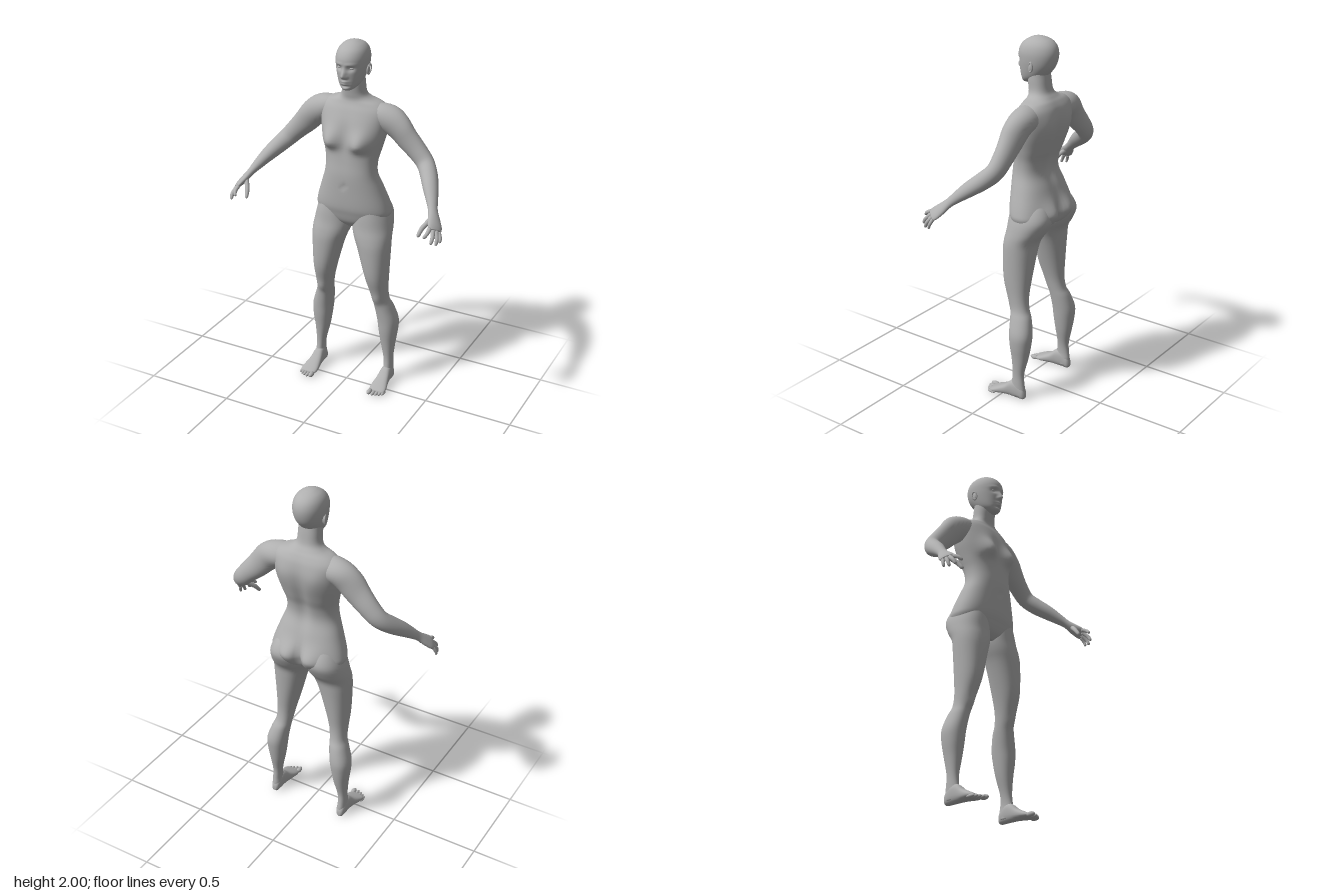
import * as THREE from 'three';

const skin = new THREE.MeshStandardMaterial({ color: 0xb0b0b0 });
skin.name = 'plain grey';

// Uniform Catmull-Rom resampling of table rows
function resample(rows, sub) {
  const out = [], last = rows.length - 1;
  for (let i = 0; i < last; i++) {
    const a = rows[Math.max(i - 1, 0)], b = rows[i], c = rows[i + 1], d = rows[Math.min(i + 2, last)];
    for (let k = 0; k < sub; k++) {
      const t = k / sub;
      out.push(b.map((v, q) => {
        const cubic = 3 * (v - c[q]) + d[q] - a[q];
        const square = 2 * a[q] - 5 * v + 4 * c[q] - d[q];
        return v + 0.5 * t * (c[q] - a[q] + t * (square + t * cubic));
      }));
    }
  }
  out.push(rows[last]);
  return out;
}

// Closed skin over rings of equal point count, with a centre point at each end
function skinRings(rings) {
  const n = rings[0].length, pos = [], idx = [];
  rings.forEach(r => r.forEach(p => pos.push(p.x, p.y, p.z)));
  for (let i = 0; i < rings.length - 1; i++) {
    for (let j = 0; j < n; j++) {
      const a = i * n + j, b = i * n + (j + 1) % n;
      idx.push(a, a + n, b, b, a + n, b + n);
    }
  }
  [rings[0], rings[rings.length - 1]].forEach((r, e) => {
    const c = r.reduce((s, p) => s.add(p), new THREE.Vector3()).divideScalar(n);
    const ci = pos.length / 3, o = e * (rings.length - 1) * n;
    pos.push(c.x, c.y, c.z);
    for (let j = 0; j < n; j++) {
      const a = o + j, b = o + (j + 1) % n;
      if (e) idx.push(ci, b, a); else idx.push(ci, a, b);
    }
  });
  const g = new THREE.BufferGeometry();
  g.setAttribute('position', new THREE.Float32BufferAttribute(pos, 3));
  g.setIndex(idx);
  g.computeVertexNormals();
  return g;
}

const spow = (v, p) => Math.sign(v) * Math.pow(Math.abs(v), 2 / p);

// Rows [t, u0, u1, v0, v1] of rounded sections; place() maps (u, v, t) to a point
function loft(rows, place, { n = 48, sub = 4, p = 2.2, warp } = {}) {
  return skinRings(resample(rows, sub).map(([t, u0, u1, v0, v1]) => {
    const ring = [];
    for (let j = 0; j < n; j++) {
      const a = j / n * Math.PI * 2, s = Math.sin(a);
      const pt = place((u0 + u1) / 2 + (u1 - u0) / 2 * spow(Math.cos(a), p),
        (v0 + v1) / 2 + (v1 - v0) / 2 * spow(s, p), t);
      if (warp) pt.z += warp(pt, s);
      ring.push(pt);
    }
    return ring;
  }));
}
const upright = (u, v, t) => new THREE.Vector3(u, t, v);
const forward = (u, v, t) => new THREE.Vector3(u, v, t);

// Rows [x, y, z, width radius, thickness radius] along a limb
const across = new THREE.Vector3(0.63, -0.45, -0.63).normalize();
function limb(rows, n) {
  const r = resample(rows, 4), at = i => new THREE.Vector3(...r[i].slice(0, 3));
  return skinRings(r.map((row, i) => {
    const T = at(Math.min(i + 1, r.length - 1)).sub(at(Math.max(i - 1, 0))).normalize();
    const W = across.clone().addScaledVector(T, -across.dot(T)).normalize();
    const N = W.clone().cross(T), ring = [];
    for (let j = 0; j < n; j++) {
      const a = j / n * Math.PI * 2;
      ring.push(at(i).addScaledVector(W, row[3] * Math.cos(a)).addScaledVector(N, row[4] * Math.sin(a)));
    }
    return ring;
  }));
}

const bump = (p, x, y, sx, sy) => {
  const dx = (p.x - x) / sx, dy = (p.y - y) / sy;
  return Math.exp(-dx * dx - dy * dy);
};
const ball = (x, y, z, sx, sy, sz) =>
  new THREE.SphereGeometry(1, 16, 12).scale(sx, sy, sz).translate(x, y, z);

function mirrored(geo) {
  const g = geo.clone().scale(-1, 1, 1), i = g.index.array;
  for (let k = 0; k < i.length; k += 3) [i[k], i[k + 1]] = [i[k + 1], i[k]];
  g.computeVertexNormals();
  return g;
}

export function createModel() {
  const model = new THREE.Group();
  model.name = 'figure';
  const add = (name, geo) => {
    const m = new THREE.Mesh(geo, skin);
    m.name = name;
    model.add(m);
  };
  const addPair = (name, geo) => {
    add('left' + name, geo);
    add('right' + name, mirrored(geo));
  };
  const symmetric = rows => rows.map(([y, w, b, f]) => [y, -w, w, b, f]);

  // Torso and neck
  add('torso', loft(symmetric([
    [0.965, 0.04, -0.12, -0.03], [1.0, 0.17, -0.19, 0.0], [1.05, 0.214, -0.215, 0.018],
    [1.1, 0.21, -0.212, 0.03], [1.2, 0.176, -0.183, 0.036], [1.28, 0.148, -0.155, 0.038],
    [1.35, 0.145, -0.16, 0.032], [1.42, 0.16, -0.185, 0.028], [1.5, 0.18, -0.208, 0.025],
    [1.57, 0.19, -0.216, 0.012], [1.63, 0.19, -0.206, -0.012], [1.667, 0.155, -0.187, -0.032],
    [1.69, 0.095, -0.168, -0.038], [1.72, 0.067, -0.148, -0.034], [1.78, 0.062, -0.138, -0.025],
    [1.83, 0.06, -0.13, -0.03],
  ]), upright, {
    n: 72, sub: 5, p: 2.3,
    warp(p, s) {
      const q = { x: Math.abs(p.x), y: p.y };
      if (s > 0) {
        return s * (0.05 * bump(q, 0.094, 1.462, 0.055, p.y > 1.462 ? 0.07 : 0.036)
          - 0.007 * bump(q, 0, 1.22, 0.012, 0.014) - 0.006 * bump(q, 0, 1.5, 0.03, 0.1));
      }
      return s * (0.03 * bump(q, 0.075, 1.075, 0.065, 0.06) - 0.03 * bump(q, 0, 1.05, 0.025, 0.07)
        - 0.016 * bump(q, 0, 1.4, 0.035, 0.18) + 0.008 * bump(q, 0.1, 1.55, 0.05, 0.07));
    },
  }));

  // Head with sculpted brow, nose, lips and chin
  add('head', loft(symmetric([
    [1.75, 0.015, -0.03, 0.005], [1.757, 0.03, -0.045, 0.014], [1.775, 0.05, -0.09, 0.02],
    [1.8, 0.064, -0.13, 0.024], [1.84, 0.076, -0.165, 0.029], [1.88, 0.083, -0.182, 0.032],
    [1.92, 0.084, -0.186, 0.032], [1.955, 0.075, -0.175, 0.016], [1.98, 0.056, -0.15, -0.013],
    [1.995, 0.029, -0.113, -0.045], [2.0, 0.008, -0.086, -0.07],
  ]), upright, {
    n: 96, sub: 7, p: 2.1,
    warp(p, s) {
      if (s < 0) return 0;
      const q = { x: Math.abs(p.x), y: p.y };
      return s * (0.025 * bump(q, 0, 1.832, 0.013, p.y > 1.832 ? 0.032 : 0.01)
        + 0.006 * bump(q, 0.014, 1.828, 0.008, 0.009)
        - 0.013 * bump(q, 0.033, 1.873, 0.019, 0.013) + 0.005 * bump(q, 0.035, 1.895, 0.03, 0.008)
        + 0.01 * bump(q, 0, 1.803, 0.02, 0.006) + 0.009 * bump(q, 0, 1.79, 0.017, 0.006)
        - 0.004 * bump(q, 0, 1.777, 0.025, 0.005) + 0.006 * bump(q, 0, 1.763, 0.02, 0.009));
    },
  }));
  addPair('Eye', ball(0.033, 1.874, 0.005, 0.014, 0.009, 0.013));

  // Ears: inner shell and rim
  addPair('Ear', ball(0.081, 1.85, -0.083, 0.009, 0.025, 0.014));
  addPair('EarRim', new THREE.TorusGeometry(0.015, 0.004, 8, 24).scale(0.9, 1.65, 1)
    .rotateY(Math.PI / 2 - 0.3).rotateX(-0.15).rotateZ(-0.12).translate(0.087, 1.853, -0.085));

  // Legs
  addPair('Leg', loft([
    [0.02, 0.192, 0.243, -0.142, -0.06], [0.06, 0.191, 0.244, -0.143, -0.05],
    [0.1, 0.195, 0.243, -0.138, -0.062], [0.16, 0.19, 0.243, -0.136, -0.068],
    [0.25, 0.17, 0.251, -0.156, -0.06], [0.33, 0.157, 0.262, -0.17, -0.05],
    [0.4, 0.148, 0.263, -0.175, -0.045], [0.48, 0.137, 0.238, -0.157, -0.037],
    [0.53, 0.13, 0.22, -0.135, -0.028], [0.6, 0.118, 0.218, -0.127, -0.004],
    [0.7, 0.093, 0.223, -0.135, 0.024], [0.85, 0.05, 0.23, -0.15, 0.032],
    [0.92, 0.022, 0.231, -0.162, 0.028], [0.98, 0.004, 0.226, -0.2, 0.018],
    [1.05, 0.006, 0.212, -0.228, 0.012], [1.12, 0.02, 0.18, -0.2, 0.0],
    [1.17, 0.05, 0.14, -0.15, -0.03],
  ], upright, {
    n: 40,
    warp: (p, s) => s > 0 ? s * 0.009 * bump(p, 0.172, 0.545, 0.03, 0.03) : 0,
  }));

  // Feet and toes
  addPair('Foot', loft([
    [-0.147, 0.228, 0.208, 0.012, 0.04], [-0.135, 0.24, 0.196, 0.002, 0.07],
    [-0.1, 0.246, 0.19, 0.002, 0.105], [-0.06, 0.249, 0.186, 0.003, 0.1],
    [-0.02, 0.256, 0.18, 0.004, 0.068], [0.03, 0.268, 0.173, 0.002, 0.042],
    [0.055, 0.268, 0.176, 0.003, 0.03], [0.07, 0.258, 0.18, 0.008, 0.022],
  ], forward, { n: 28, p: 2.4 }));
  [[0.188, 0.081, 0.014], [0.211, 0.08, 0.0105], [0.23, 0.073, 0.01], [0.247, 0.064, 0.0095], [0.262, 0.053, 0.009]]
    .forEach(([x, z, r], i) => addPair('Toe' + (i + 1), ball(x, r, z, r, r, 0.026)));

  // Arms down to the palms
  addPair('Arm', limb([
    [0.08, 1.62, -0.115, 0.05, 0.045], [0.14, 1.61, -0.113, 0.07, 0.062],
    [0.2, 1.592, -0.112, 0.07, 0.073], [0.25, 1.555, -0.11, 0.06, 0.074],
    [0.3, 1.5, -0.11, 0.05, 0.067],
    [0.36, 1.44, -0.11, 0.046, 0.057], [0.41, 1.388, -0.1, 0.044, 0.051],
    [0.45, 1.345, -0.058, 0.046, 0.046], [0.488, 1.3, 0.0, 0.042, 0.038],
    [0.52, 1.256, 0.052, 0.032, 0.028], [0.543, 1.222, 0.09, 0.027, 0.02],
    [0.564, 1.19, 0.122, 0.036, 0.019], [0.582, 1.165, 0.15, 0.042, 0.016],
    [0.592, 1.15, 0.166, 0.036, 0.011],
  ], 28));

  // Fingers and thumb: base, knuckle, tip, radius
  const digits = {
    IndexFinger: [[0.568, 1.166, 0.182], [0.568, 1.15, 0.214], [0.557, 1.13, 0.236], 0.0095],
    MiddleFinger: [[0.582, 1.157, 0.172], [0.593, 1.127, 0.203], [0.592, 1.098, 0.222], 0.0098],
    RingFinger: [[0.594, 1.148, 0.16], [0.609, 1.115, 0.183], [0.61, 1.085, 0.196], 0.0094],
    LittleFinger: [[0.604, 1.139, 0.147], [0.618, 1.111, 0.159], [0.618, 1.088, 0.166], 0.0082],
    Thumb: [[0.55, 1.19, 0.127], [0.521, 1.152, 0.167], [0.509, 1.112, 0.199], 0.0115],
  };
  for (const [name, [a, b, c, r]] of Object.entries(digits)) {
    const near = c.map((v, k) => v + (b[k] - v) * 0.2);
    addPair(name, limb([[...a, r * 1.25, r * 1.15], [...b, r * 1.05, r * 1.05],
      [...near, r * 0.85, r * 0.8], [...c, r * 0.25, r * 0.25]], 12));
  }
  return model;
}
